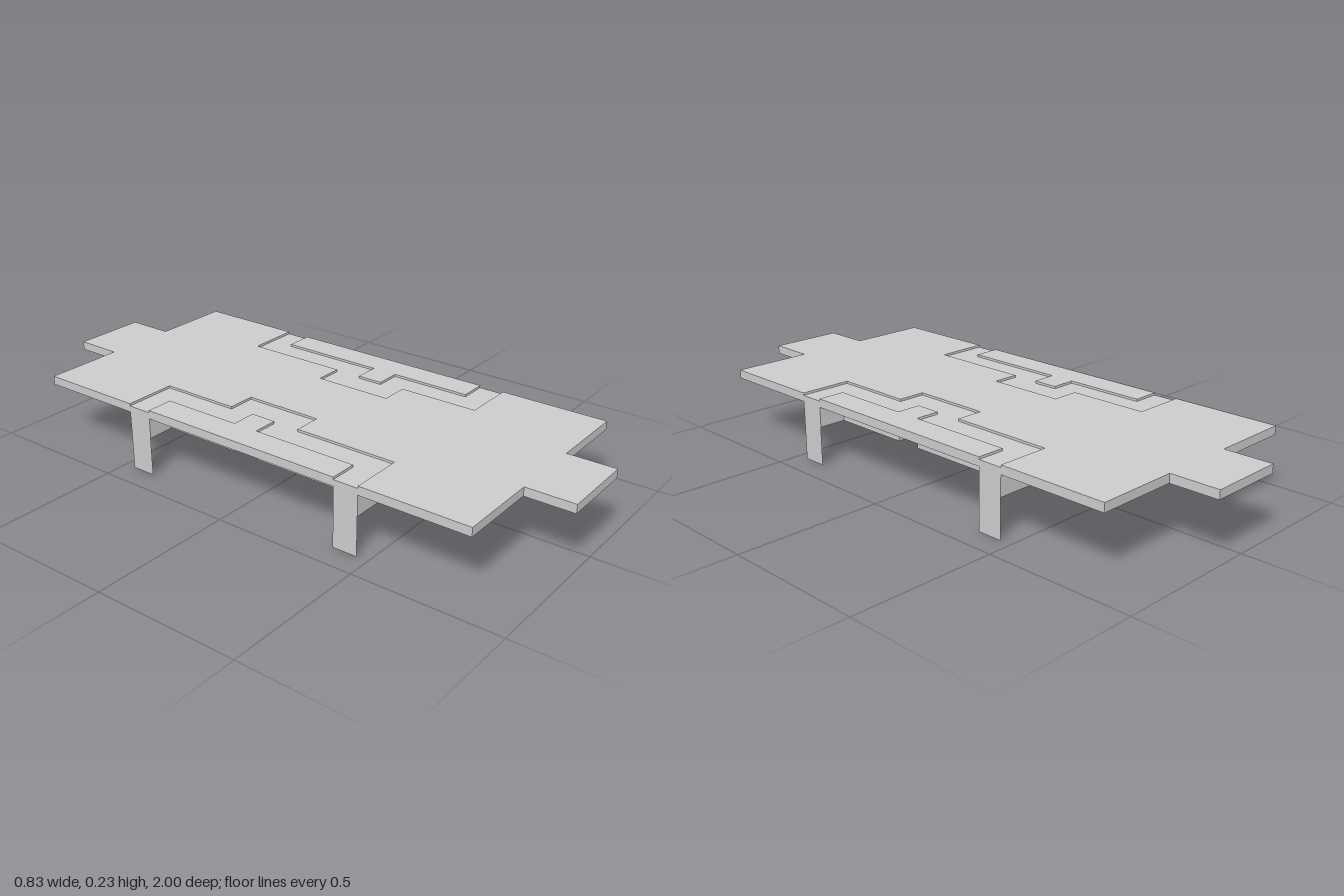
import * as THREE from 'three';

const HALF_WIDTH = 0.415;
const DECK_TOP = 0.235, DECK_BOTTOM = 0.205;
const DUCT_TOP = 0.227, DUCT_BOTTOM = 0.135;

const material = new THREE.MeshStandardMaterial({ color: 0xcccccc, flatShading: true });
const thinMaterial = new THREE.MeshStandardMaterial({
  color: 0xcccccc, flatShading: true, side: THREE.DoubleSide,
});

// Plan outlines [x, z] of the stepped duct on the right side
const ductOuter = [
  [-HALF_WIDTH, 0.46], [-0.23, 0.46], [-0.23, 0.095], [-0.133, 0.095],
  [-0.133, -0.18], [-0.23, -0.18], [-0.23, -0.46], [-HALF_WIDTH, -0.46],
];
const ductInner = [
  [-HALF_WIDTH, 0.373], [-0.318, 0.373], [-0.318, 0], [-0.23, 0],
  [-0.23, -0.09], [-0.318, -0.09], [-0.318, -0.373], [-HALF_WIDTH, -0.373],
];

// Flat slab with the given plan outline between two heights
function slab(name, outline, bottom, top) {
  const shape = new THREE.Shape(outline.map(([x, z]) => new THREE.Vector2(x, -z)));
  const geometry = new THREE.ExtrudeGeometry(shape, { depth: top - bottom, bevelEnabled: false });
  geometry.rotateX(-Math.PI / 2).translate(0, bottom, 0);
  const mesh = new THREE.Mesh(geometry, material);
  mesh.name = name;
  return mesh;
}

export function createModel() {
  const model = new THREE.Group();
  model.name = 'platform';

  // Main deck: end tabs, with the duct areas cut out of both long sides
  const half = [
    [-0.132, 1], [-0.132, 0.835], [-HALF_WIDTH, 0.835],
    ...ductOuter,
    [-HALF_WIDTH, -0.835], [-0.132, -0.835], [-0.132, -1],
  ];
  const deckOutline = [...half, ...half.map(([x, z]) => [-x, -z])];
  model.add(slab('deck', deckOutline, DECK_BOTTOM, DECK_TOP));

  // Each side is the other turned half way round
  for (const [name, angle] of [['rightSide', 0], ['leftSide', Math.PI]]) {
    const side = new THREE.Group();
    side.name = name;
    side.rotation.y = angle;

    // Sunken duct hanging below the deck, and the deck piece it encloses
    side.add(slab('duct', [...ductOuter, ...[...ductInner].reverse()], DUCT_BOTTOM, DUCT_TOP));
    side.add(slab('edgePanel', ductInner, DECK_BOTTOM, DECK_TOP));

    // Thin strip legs at the duct ends
    for (const end of [1, -1]) {
      const leg = new THREE.Mesh(new THREE.PlaneGeometry(0.087, DUCT_TOP), thinMaterial);
      leg.name = end > 0 ? 'frontLeg' : 'backLeg';
      leg.rotation.y = -Math.PI / 2;
      leg.position.set(-HALF_WIDTH - 0.0005, DUCT_TOP / 2, end * 0.4165);
      side.add(leg);
    }
    model.add(side);
  }
  return model;
}
